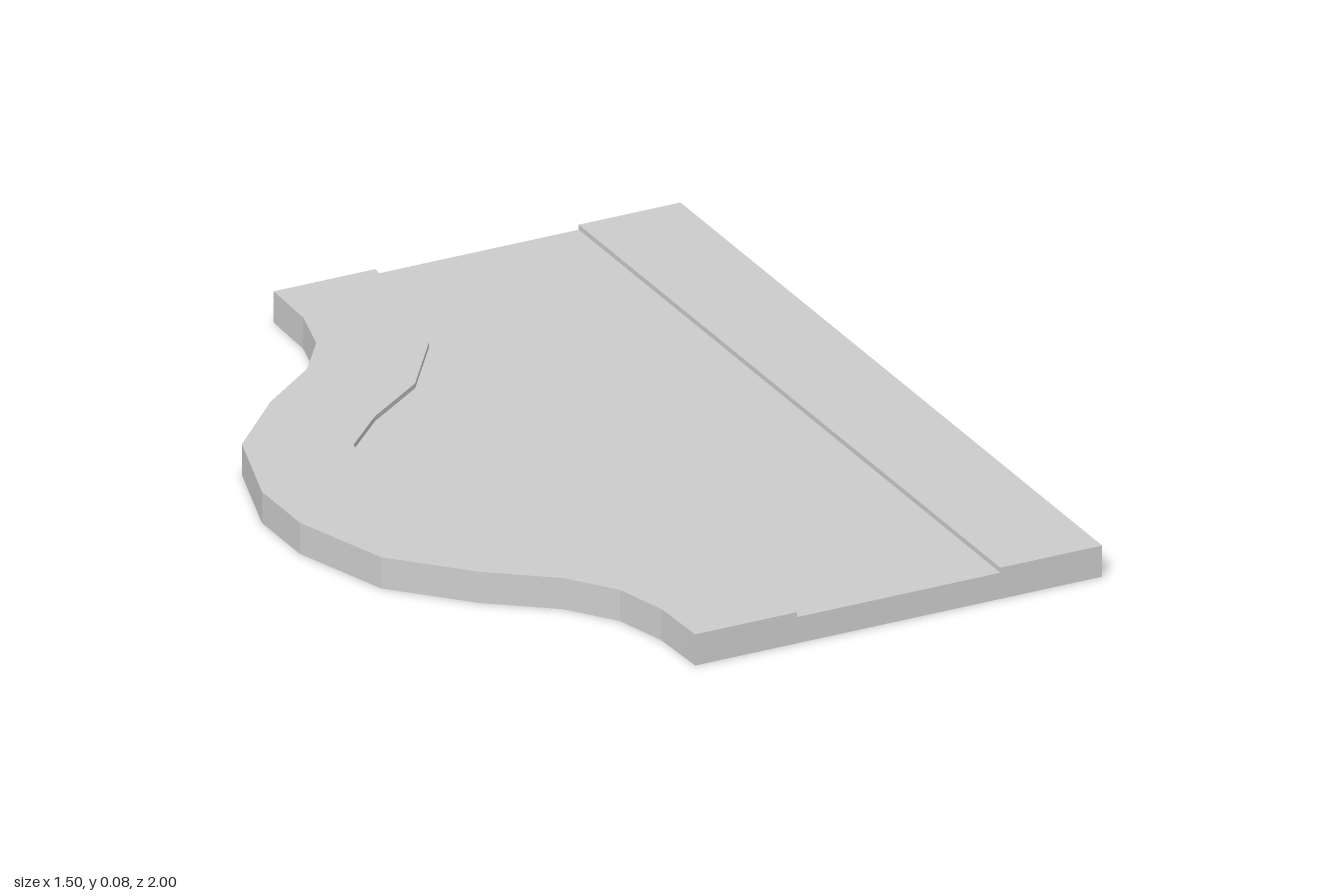
import * as THREE from 'three';

const KERB_HEIGHT = 0.075;
const ROAD_HEIGHT = 0.063;

// Half outlines [x, z] from the middle of the bay to the end of the tile
const outerHalf = [[-0.75, 0.09], [-0.675, 0.33], [-0.52, 0.495], [-0.37, 0.61], [-0.29, 0.72], [-0.255, 0.85], [-0.25, 1]];
const innerHalf = [[-0.5, 0.07], [-0.46, 0.215], [-0.35, 0.325], [-0.195, 0.435], [-0.07, 0.61], [-0.01, 0.81], [0, 1]];

// Mirror a half outline into a full edge running from z = -1 to z = 1
function fullEdge(half) {
  return [...half.map(([x, z]) => [x, -z]).reverse(), ...half];
}

// Slab standing on y = 0 between two edges
function slab(name, leftEdge, rightEdge, height, material) {
  const outline = [...leftEdge, ...[...rightEdge].reverse()];
  const shape = new THREE.Shape(outline.map(([x, z]) => new THREE.Vector2(x, -z)));
  const geometry = new THREE.ExtrudeGeometry(shape, { depth: height, bevelEnabled: false });
  geometry.rotateX(-Math.PI / 2);
  const mesh = new THREE.Mesh(geometry, material);
  mesh.name = name;
  return mesh;
}

export function createModel() {
  const group = new THREE.Group();
  group.name = 'roadBayTile';

  const concrete = new THREE.MeshStandardMaterial({ color: 0xcccccc, flatShading: true });
  concrete.name = 'concrete grey';

  const outer = fullEdge(outerHalf);
  const inner = fullEdge(innerHalf);
  const straight = (x) => [[x, -1], [x, 1]];

  group.add(
    slab('curvedPavement', outer, inner, KERB_HEIGHT, concrete),
    slab('roadSurface', inner, straight(0.5), ROAD_HEIGHT, concrete),
    slab('straightPavement', straight(0.5), straight(0.75), KERB_HEIGHT, concrete),
  );
  return group;
}
